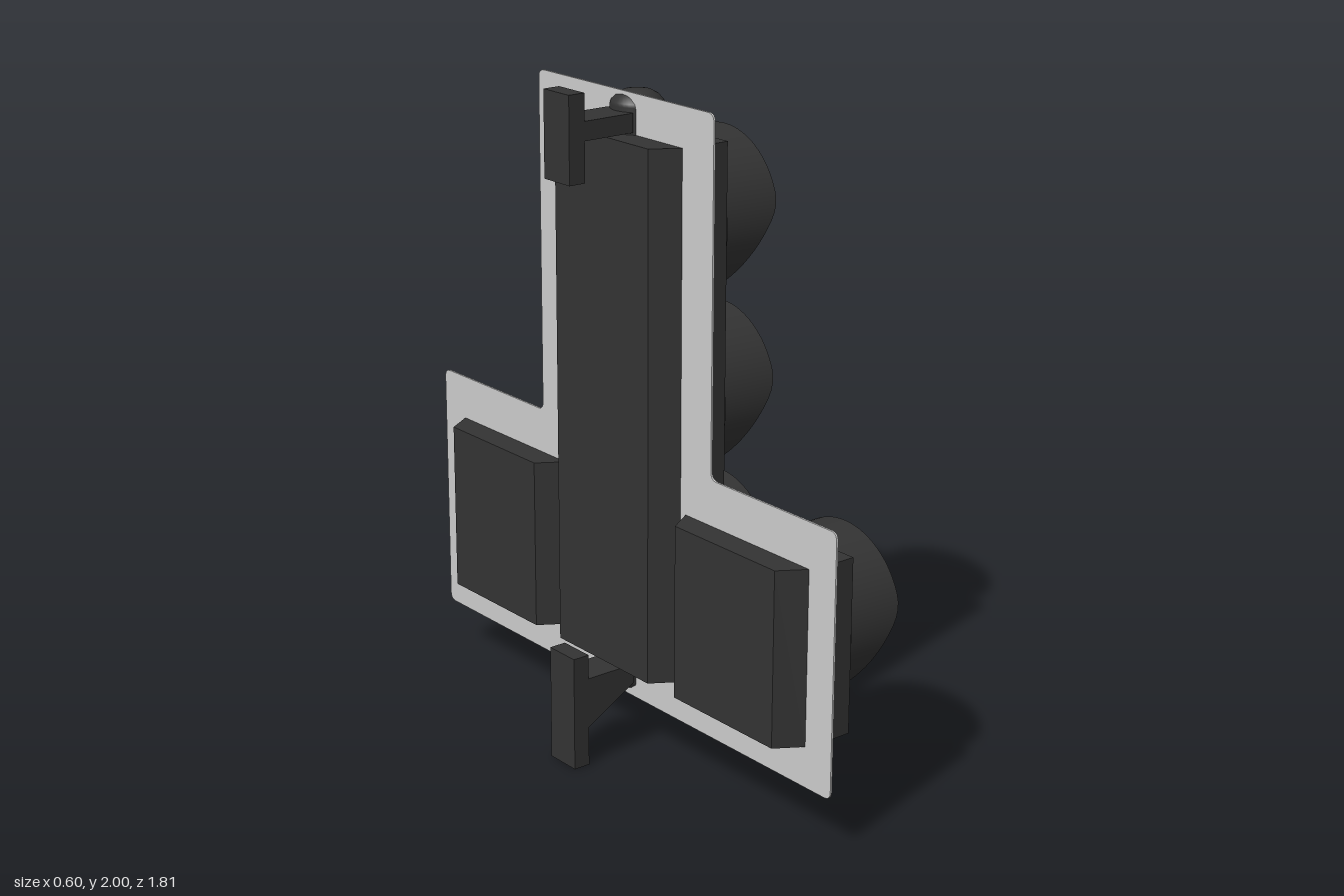
import * as THREE from 'three';

const mat = (color, side = THREE.FrontSide) => new THREE.MeshStandardMaterial({ color, side });
const dark = mat(0x333333);
const RED = 0xdd2a2a, YELLOW = 0xffff11, GREEN = 0x2dff26;

function add(parent, name, geometry, material = dark, x = 0, y = 0, z = 0) {
  const mesh = new THREE.Mesh(geometry, material);
  mesh.name = name;
  mesh.position.set(x, y, z);
  parent.add(mesh);
  return mesh;
}

const polygon = (pts) => new THREE.Shape(pts.map(([x, y]) => new THREE.Vector2(x, y)));
const extrude = (shape, depth) =>
  new THREE.ExtrudeGeometry(shape, { depth, bevelEnabled: false, curveSegments: 6 });

// Polygon with every corner rounded by radius r
function roundedPolygon(pts, r) {
  const v = pts.map(([x, y]) => new THREE.Vector2(x, y));
  const shape = new THREE.Shape();
  v.forEach((p, i) => {
    const prev = v[(i + v.length - 1) % v.length], next = v[(i + 1) % v.length];
    const a = prev.clone().sub(p).setLength(r).add(p);
    const b = next.clone().sub(p).setLength(r).add(p);
    if (i === 0) shape.moveTo(a.x, a.y); else shape.lineTo(a.x, a.y);
    shape.quadraticCurveTo(p.x, p.y, b.x, b.y);
  });
  shape.closePath();
  return shape;
}

// Housing: chamfered back, straight sides, slightly wider door at the front
function housing(height) {
  const half = [[0.21, -0.15], [0.26, -0.07], [0.26, 0.02], [0.27, 0.02], [0.27, 0.08]];
  const outline = [...half, ...half.map(([x, z]) => [-x, z]).reverse()];
  return extrude(polygon(outline.map(([x, z]) => [x, -z])), height).rotateX(-Math.PI / 2);
}

// How far the visor reaches at height h from the lens centre
function reach(h) {
  if (h < 0) return 0.272 + 0.62 * h;
  const t = Math.min(h / 0.08, 1);
  return 0.272 + 0.025 * (2 * t - t * t);
}

// Cut-away tube: outer wall, front rim and inner wall as separate strips
function visorGeometry() {
  const n = 72, outer = 0.237, inner = 0.226, base = 0.08;
  const strips = [
    [[outer, false], [outer, true]],
    [[outer, true], [inner, true]],
    [[inner, true], [inner, false]],
  ];
  const positions = [], index = [];
  strips.forEach((strip, s) => {
    for (let i = 0; i < n; i++) {
      const a = (i / n) * Math.PI * 2, c = Math.cos(a), sn = Math.sin(a);
      for (const [r, front] of strip) {
        positions.push(r * c, r * sn, front ? reach(outer * sn) : base);
      }
      const p = (s * n + i) * 2, q = (s * n + ((i + 1) % n)) * 2;
      index.push(p, q, q + 1, p, q + 1, p + 1);
    }
  });
  const g = new THREE.BufferGeometry();
  g.setAttribute('position', new THREE.Float32BufferAttribute(positions, 3));
  g.setIndex(index);
  g.computeVertexNormals();
  return g;
}

// Ring around the lens
function bezelGeometry() {
  const shape = new THREE.Shape().absarc(0, 0, 0.245, 0, Math.PI * 2);
  shape.holes.push(new THREE.Path().absarc(0, 0, 0.214, 0, Math.PI * 2, true));
  return new THREE.ExtrudeGeometry(shape, { depth: 0.025, bevelEnabled: false, curveSegments: 36 });
}

// Shallow dome facing +z
function lensGeometry() {
  const pts = [];
  for (let i = 0; i <= 8; i++) {
    const r = 0.217 * (1 - i / 8);
    pts.push(new THREE.Vector2(r, 0.02 * (1 - (r / 0.217) ** 2)));
  }
  return new THREE.LatheGeometry(pts, 64).rotateX(Math.PI / 2);
}

// Round mounting cap: short cylinder with a domed end
function capGeometry() {
  const pts = [[0.077, 0], [0.077, 0.075], [0.074, 0.084], [0.06, 0.1], [0.04, 0.111], [0.02, 0.115], [0, 0.116]];
  return new THREE.LatheGeometry(pts.map(([x, y]) => new THREE.Vector2(x, y)), 32);
}

export function createModel() {
  const model = new THREE.Group();
  model.name = 'trafficLight';

  // Built facing +z, then turned to face +x
  const light = new THREE.Group();
  light.name = 'signalHead';
  light.rotation.y = Math.PI / 2;
  model.add(light);

  // Housings: tall centre column and a module on each side
  add(light, 'centreHousing', housing(1.572), dark, 0, 0.287, 0);
  for (const s of [-1, 1]) {
    add(light, s < 0 ? 'sideHousingA' : 'sideHousingB', housing(0.523), dark, s * 0.541, 0.287, 0);
  }

  // Lamps
  const visor = visorGeometry(), bezel = bezelGeometry(), lens = lensGeometry();
  const lamps = [
    ['redLamp', RED, 0, 1.597],
    ['yellowLamp', YELLOW, 0, 1.073],
    ['greenLampCentre', GREEN, 0, 0.548],
    ['greenLampA', GREEN, -0.541, 0.548],
    ['greenLampB', GREEN, 0.541, 0.548],
  ];
  for (const [name, color, x, y] of lamps) {
    const lamp = new THREE.Group();
    lamp.name = name;
    lamp.position.set(x, y, 0);
    add(lamp, 'visor', visor);
    add(lamp, 'bezel', bezel, dark, 0, 0, 0.08);
    add(lamp, 'lens', lens, mat(color), 0, 0, 0.085);
    light.add(lamp);
  }

  // Thin T-shaped backplate
  const plateHalf = [[0.905, 0.165], [0.905, 0.945], [0.39, 0.945], [0.39, 1.975]];
  const plate = plateHalf.concat(plateHalf.map(([x, y]) => [-x, y]).reverse());
  const plateShape = roundedPolygon(plate, 0.025);
  add(light, 'backplate', extrude(plateShape, 0.006), mat(0xcccccc), 0, 0, -0.071);

  // Mounting caps above and below the column
  const cap = capGeometry();
  add(light, 'topCap', cap, dark, 0, 1.859, -0.02);
  add(light, 'bottomCap', cap, dark, 0, 0.287, -0.02).rotation.x = Math.PI;

  // Wall brackets, side profiles extruded across their width
  const brackets = {
    topBracket: [[-0.3, 1.75], [-0.247, 1.75], [-0.247, 1.867], [-0.08, 1.867], [-0.08, 1.922],
      [-0.247, 1.922], [-0.247, 2], [-0.3, 2]],
    bottomBracket: [[-0.3, 0], [-0.247, 0], [-0.247, 0.12], [-0.08, 0.215], [-0.08, 0.275],
      [-0.247, 0.275], [-0.247, 0.35], [-0.3, 0.35]],
  };
  for (const [name, pts] of Object.entries(brackets)) {
    add(model, name, extrude(polygon(pts), 0.114), dark, 0, 0, -0.057);
  }
  return model;
}
